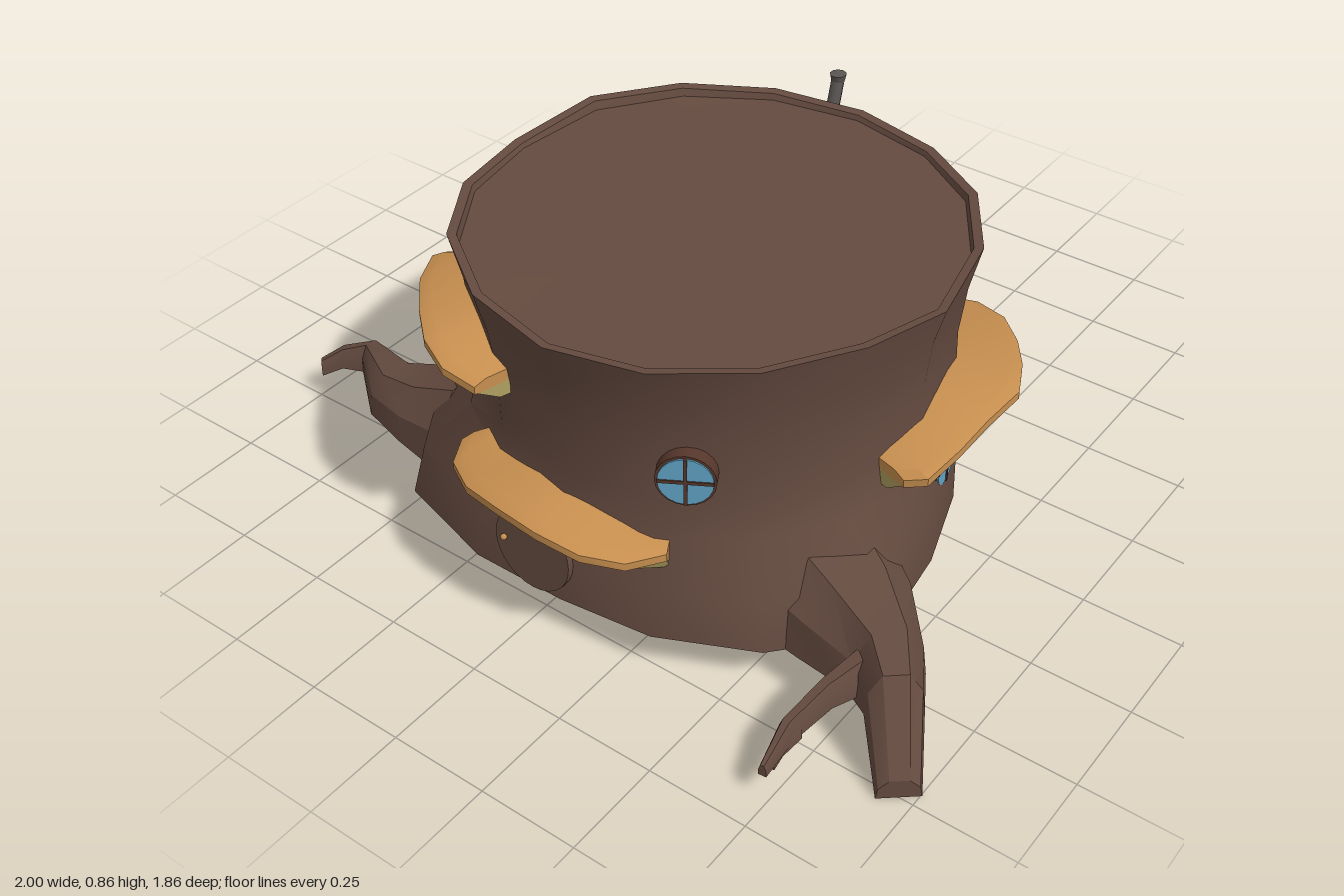
import * as THREE from 'three';
import { toCreasedNormals } from 'three/addons/utils/BufferGeometryUtils.js';

const mat = (name, color) => {
  const m = new THREE.MeshStandardMaterial({ color });
  m.name = name;
  return m;
};
const rad = THREE.MathUtils.degToRad;

// Skin a list of equal-length rings (counter-clockwise seen from the far end) and cap both ends
function loft(rings, crease) {
  const n = rings[0].length, pos = [];
  const tri = (...pts) => pts.forEach(p => pos.push(p.x, p.y, p.z));
  for (let i = 0; i + 1 < rings.length; i++) {
    for (let j = 0; j < n; j++) {
      const k = (j + 1) % n, a = rings[i], b = rings[i + 1];
      tri(a[j], a[k], b[k]);
      tri(a[j], b[k], b[j]);
    }
  }
  const cap = (ring, flip) => {
    const c = new THREE.Vector3();
    ring.forEach(p => c.addScaledVector(p, 1 / n));
    for (let j = 0; j < n; j++) {
      const p = ring[j], q = ring[(j + 1) % n];
      flip ? tri(c, q, p) : tri(c, p, q);
    }
  };
  cap(rings[0], true);
  cap(rings[rings.length - 1], false);
  const geo = new THREE.BufferGeometry();
  geo.setAttribute('position', new THREE.Float32BufferAttribute(pos, 3));
  return toCreasedNormals(geo, crease);
}

const polar = (deg, r, y) => new THREE.Vector3(Math.sin(rad(deg)) * r, y, Math.cos(rad(deg)) * r);

// Root: sections are [x, z, width, bottom, top]
const ROOT_SHAPE = [[0.5, 0], [0.45, 0.55], [0.22, 1], [-0.22, 1], [-0.45, 0.55], [-0.5, 0]];
function rootGeometry(sections) {
  const rings = sections.map(([x, z, w, lo, hi], i) => {
    const a = sections[Math.max(i - 1, 0)], b = sections[Math.min(i + 1, sections.length - 1)];
    const dir = new THREE.Vector3(b[0] - a[0], 0, b[1] - a[1]).normalize();
    const side = new THREE.Vector3(0, 1, 0).cross(dir);
    return ROOT_SHAPE.map(([u, v]) =>
      new THREE.Vector3(x, lo + (hi - lo) * v, z).addScaledVector(side, u * w));
  });
  return loft(rings, 0.45);
}

export function createModel() {
  const bark = mat('bark', 0x654b40);
  const fungusTop = mat('fungus top', 0xc68e4f);
  const fungusUnder = mat('fungus underside', 0xae9f60);
  const glass = mat('glass', 0x62a5c6);
  const frameWood = mat('window frame', 0x57372c);
  const metal = mat('pipe metal', 0x5a5653);

  const model = new THREE.Group();
  model.name = 'stumpHouse';
  const add = (parent, name, geo, material) => {
    const mesh = new THREE.Mesh(geo, material);
    mesh.name = name;
    parent.add(mesh);
    return mesh;
  };

  // Everything fixed to the trunk is placed around the trunk's axis
  const trunkGroup = new THREE.Group();
  trunkGroup.name = 'trunkGroup';
  trunkGroup.position.set(0.09, 0, 0.2);
  model.add(trunkGroup);

  // Trunk: flared uneven foot, narrow waist, wavy rim and slightly sunken cut face
  const foot = [0.6, 0.62, 0.66, 0.7, 0.61, 0.58, 0.6, 0.62, 0.69, 0.7, 0.7, 0.67, 0.67, 0.74, 0.74, 0.65];
  const rim = [0.82, 0.828, 0.836, 0.84, 0.815, 0.832, 0.825, 0.812, 0.815, 0.822, 0.832, 0.84, 0.812, 0.824, 0.838, 0.83];
  const levels = [ // [height, radius, share of foot flare, share of rim waviness]
    [0.11, 0.57, 1, 0], [0.24, 0.57, 0.8, 0], [0.36, 0.565, 0.12, 0], [0.46, 0.562, 0, 0],
    [0.6, 0.56, 0, 0], [0.72, 0.575, 0, 0], [0.825, 0.602, 0, 1], [0.822, 0.58, 0, 1], [0.805, 0.575, 0, 0.6],
  ];
  const trunkRings = levels.map(([y, r, flare, wave]) => foot.map((f, j) =>
    polar(j * 22.5, r + (f - r) * flare, y + wave * (rim[j] - 0.825))));
  add(trunkGroup, 'trunk', loft(trunkRings, 0.75), bark);

  // Roots
  const roots = {
    leftRoot: [[0.5, 0.42, 0.4, 0.11, 0.34], [0.69, 0.5, 0.3, 0.11, 0.285], [0.82, 0.58, 0.18, 0.11, 0.26],
      [0.89, 0.66, 0.13, 0.13, 0.24], [0.965, 0.75, 0.1, 0.0, 0.05]],
    leftRootBranch: [[0.8, 0.6, 0.08, 0.14, 0.23], [0.755, 0.72, 0.05, 0.13, 0.19],
      [0.725, 0.82, 0.04, 0.09, 0.14], [0.735, 0.92, 0.02, 0.07, 0.1]],
    leftRootClaw: [[0.74, 0.8, 0.03, 0.09, 0.13], [0.728, 0.85, 0.025, 0.07, 0.1], [0.73, 0.88, 0.015, 0.05, 0.07]],
    rightRoot: [[-0.45, 0.48, 0.32, 0.11, 0.3], [-0.6, 0.485, 0.25, 0.11, 0.235], [-0.71, 0.49, 0.17, 0.11, 0.21],
      [-0.865, 0.425, 0.07, 0.11, 0.185], [-0.94, 0.455, 0.05, 0.105, 0.155], [-0.985, 0.495, 0.035, 0.08, 0.12]],
    backRoot: [[-0.24, -0.26, 0.36, 0.11, 0.31], [-0.29, -0.42, 0.37, 0.11, 0.31], [-0.34, -0.54, 0.27, 0.11, 0.345],
      [-0.385, -0.63, 0.21, 0.17, 0.335], [-0.46, -0.75, 0.16, 0.12, 0.265], [-0.52, -0.83, 0.13, 0.05, 0.18],
      [-0.585, -0.9, 0.1, 0.01, 0.07]],
    backRootBranch: [[-0.4, -0.63, 0.16, 0.19, 0.3], [-0.3, -0.74, 0.13, 0.16, 0.26],
      [-0.23, -0.77, 0.08, 0.11, 0.19], [-0.17, -0.79, 0.06, 0.07, 0.13], [-0.13, -0.86, 0.03, 0.03, 0.065]],
  };
  for (const [name, sections] of Object.entries(roots)) add(model, name, rootGeometry(sections), bark);

  // Shelf fungi: blunt-ended crescents with a tan cap and a sloping underside; sections are [angle, reach, top]
  function shelfFungus(name, sections) {
    const along = points => sections.map(([a, out, y]) => points(out).map(([r, h]) => polar(a, r, y + h)));
    const cap = along(out => [[0.5, 0], [out - 0.03, -0.004], [out, -0.016], [out, -0.036], [0.5, -0.03]]);
    const under = along(out => [[0.5, -0.02], [out - 0.004, -0.034], [0.58, -0.07], [0.5, -0.07]]);
    const g = new THREE.Group();
    g.name = name;
    add(g, name + 'Cap', loft(cap, 0.45), fungusTop);
    add(g, name + 'Underside', loft(under, 0.45), fungusUnder);
    trunkGroup.add(g);
  }
  shelfFungus('upperFungus', [[-65, 0.64, 0.655], [-60, 0.665, 0.685], [-50, 0.675, 0.7], [-40, 0.68, 0.7],
    [-31, 0.69, 0.695], [-24, 0.68, 0.67], [-18, 0.64, 0.645]]);
  shelfFungus('doorFungus', [[-31, 0.63, 0.395], [-25, 0.675, 0.395], [-17, 0.69, 0.4], [-8, 0.69, 0.413],
    [2, 0.69, 0.405], [11, 0.685, 0.385], [19, 0.655, 0.365], [26, 0.6, 0.36]]);
  shelfFungus('sideFungus', [[76, 0.63, 0.475], [79, 0.67, 0.485], [88, 0.675, 0.505], [97, 0.685, 0.52],
    [106, 0.72, 0.533], [115, 0.71, 0.525], [124, 0.7, 0.51], [134, 0.69, 0.49], [142, 0.655, 0.475], [146, 0.6, 0.47]]);

  // Round windows with cross bars
  const disc = (r, depth) => new THREE.CylinderGeometry(r, r, depth, 20).rotateX(Math.PI / 2);
  [[-42, 0.55, 0.562], [30, 0.54, 0.562], [102, 0.31, 0.555], [156, 0.34, 0.57]].forEach(([deg, y, r], i) => {
    const g = new THREE.Group();
    g.name = 'window' + (i + 1);
    g.position.copy(polar(deg, r, y));
    g.rotation.y = rad(deg);
    add(g, 'frame', disc(0.067, 0.04), frameWood);
    add(g, 'pane', disc(0.061, 0.008), glass).position.z = 0.02;
    add(g, 'uprightBar', new THREE.BoxGeometry(0.008, 0.122, 0.008), frameWood).position.z = 0.023;
    add(g, 'crossBar', new THREE.BoxGeometry(0.122, 0.008, 0.008), frameWood).position.z = 0.023;
    trunkGroup.add(g);
  });

  // Round door with a small knob
  const door = new THREE.Group();
  door.name = 'door';
  door.position.set(0.02, 0.225, 0.798);
  door.rotation.x = -0.06;
  add(door, 'doorPanel', new THREE.CylinderGeometry(0.107, 0.107, 0.016, 28).rotateX(Math.PI / 2), bark);
  add(door, 'doorKnob', new THREE.SphereGeometry(0.008, 10, 8), fungusTop).position.set(-0.08, 0, 0.012);
  model.add(door);

  // Crooked stove pipe with a flared top at the back
  const pipePath = new THREE.CurvePath();
  const bends = [[0.365, -0.33], [0.375, -0.41], [0.44, -0.435], [0.6, -0.395], [0.69, -0.4], [0.845, -0.445]]
    .map(([y, z]) => new THREE.Vector3(-0.015, y, z));
  for (let i = 1; i < bends.length; i++) pipePath.add(new THREE.LineCurve3(bends[i - 1], bends[i]));
  add(model, 'stovePipe', new THREE.TubeGeometry(pipePath, 24, 0.017, 8), metal);
  add(model, 'stovePipeTop', new THREE.CylinderGeometry(0.021, 0.017, 0.018, 10), metal)
    .position.set(-0.015, 0.855, -0.446);

  return model;
}
